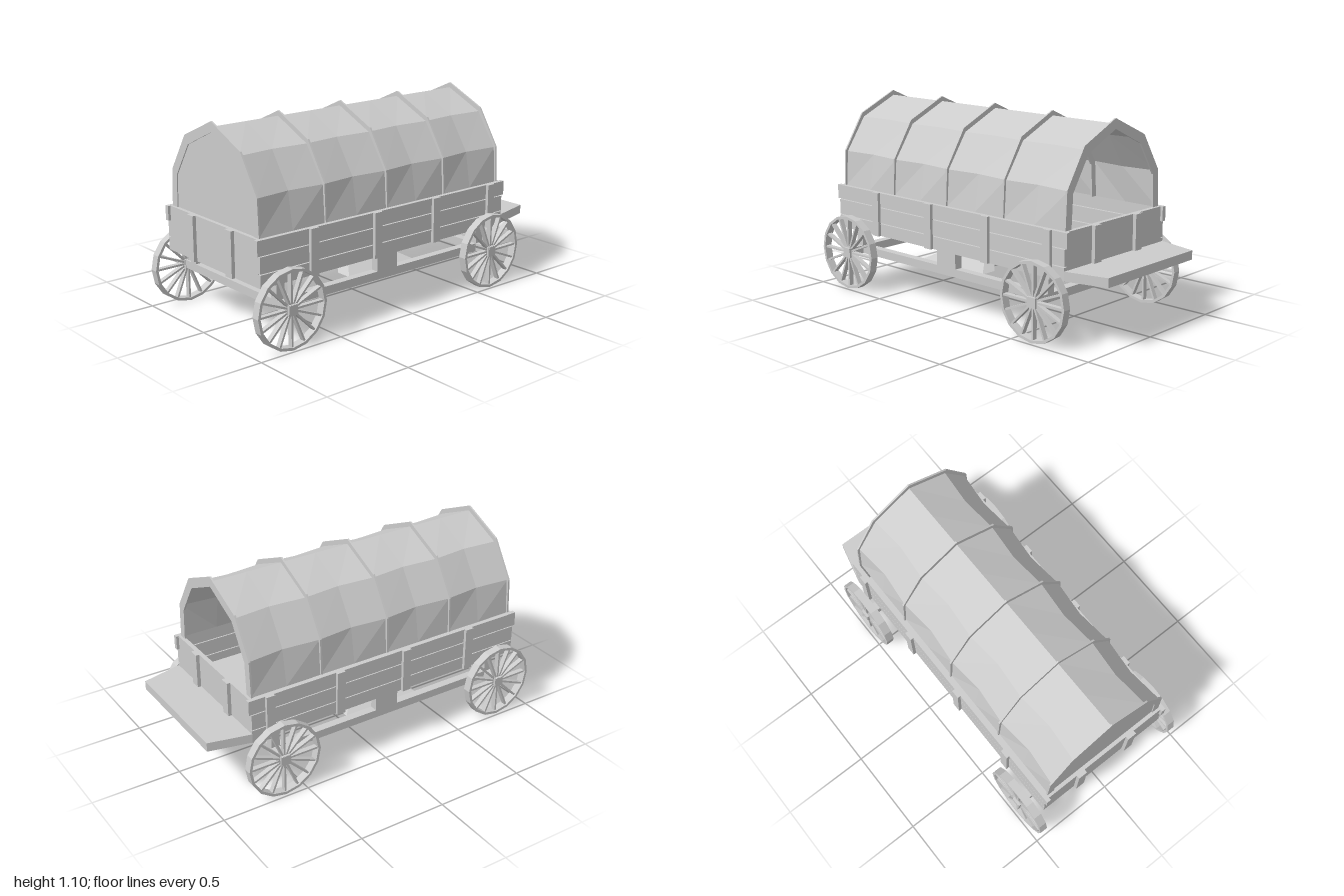
import * as THREE from 'three';

export function createModel() {
  const wagon = new THREE.Group();
  wagon.name = 'coveredWagon';
  const mat = new THREE.MeshStandardMaterial({ color: 0xcccccc, flatShading: true });
  const thin = new THREE.MeshStandardMaterial({ color: 0xcccccc, flatShading: true, side: THREE.DoubleSide });

  const add = (name, geo, parent = wagon, material = mat) => {
    const mesh = new THREE.Mesh(geo, material);
    mesh.name = name;
    parent.add(mesh);
    return mesh;
  };
  // Box given by its limits along each axis
  const box = (name, x0, x1, y0, y1, z0, z1, parent = wagon) => {
    const mesh = add(name, new THREE.BoxGeometry(x1 - x0, y1 - y0, z1 - z0), parent);
    mesh.position.set((x0 + x1) / 2, (y0 + y1) / 2, (z0 + z1) / 2);
    return mesh;
  };

  // Wagon bed: floor and plank walls
  const front = 0.93, back = -0.77, mid = 0.08;
  box('floor', -0.4, 0.4, 0.33, 0.355, back + 0.01, front - 0.01);
  const planks = [[0.333, 0.403, 0], [0.408, 0.495, 0], [0.5, 0.58, 0.015]];
  for (const [y0, y1, extra] of planks) {
    for (const s of [-1, 1]) {
      const a = s * 0.385, b = s * 0.41;
      box('sidePlank', Math.min(a, b), Math.max(a, b), y0, y1, back - extra, front + extra);
    }
  }
  for (const [z0, z1] of [[front - 0.025, front], [back, back + 0.025]]) {
    box('endBoard', -0.392, 0.392, 0.333, 0.58, z0, z1);
  }

  // Upright battens on the walls
  for (const s of [-1, 1]) {
    for (const z of [0.603, 0.18, -0.242, -0.665]) {
      box('sideBatten', s * 0.418 - 0.01, s * 0.418 + 0.01, 0.333, 0.582, z - 0.025, z + 0.025);
    }
    for (const z of [front + 0.009, back - 0.009]) {
      box('endBatten', s * 0.17 - 0.027, s * 0.17 + 0.027, 0.333, 0.58, z - 0.011, z + 0.011);
    }
  }

  // Tapered step at the back
  const step = new THREE.Shape([[-0.41, 0.77], [0.41, 0.77], [0.355, 1], [-0.355, 1]]
    .map(([x, y]) => new THREE.Vector2(x, y)));
  const stepMesh = add('rearStep', new THREE.ExtrudeGeometry(step, { depth: 0.05, bevelEnabled: false }));
  stepMesh.rotation.x = -Math.PI / 2;
  stepMesh.position.y = 0.335;

  // Undercarriage: rails, axles, posts and flared braces
  const axleZ = [0.79, -0.622];
  for (const z of axleZ) box('axle', -0.49, 0.49, 0.195, 0.24, z - 0.025, z + 0.025);
  for (const s of [-1, 1]) {
    const x = s * 0.362;
    box('rail', x - 0.023, x + 0.023, 0.195, 0.24, axleZ[1], axleZ[0]);
    box('middlePost', x - 0.023, x + 0.023, 0.238, 0.335, mid - 0.07, mid + 0.07);
    for (const z of axleZ) box('axlePost', x - 0.023, x + 0.023, 0.238, 0.335, z - 0.025, z + 0.025);

    const brace = new THREE.BoxGeometry(1, 1, 1);
    const p = brace.attributes.position;
    for (let i = 0; i < p.count; i++) {
      const outer = p.getX(i) * s > 0, low = p.getY(i) < 0;
      const px = low ? (outer ? 0.34 : 0.25) : (outer ? 0.14 : 0.07);
      p.setXYZ(i, s * px, low ? 0.235 : 0.333, mid + Math.sign(p.getZ(i)) * (low ? 0.23 : 0.07));
    }
    brace.computeVertexNormals();
    add('brace', brace);
  }

  // Spoked wheels, 16-sided with a corner at the bottom
  const sides = 16, R = 0.213, r = 0.198, width = 0.046;
  const ring = (rad) => Array.from({ length: sides }, (_, i) => {
    const a = i * 2 * Math.PI / sides;
    return new THREE.Vector2(rad * Math.cos(a), rad * Math.sin(a));
  });
  const rimShape = new THREE.Shape(ring(R));
  rimShape.holes.push(new THREE.Path(ring(r).reverse()));
  const rimGeo = new THREE.ExtrudeGeometry(rimShape, { depth: width, bevelEnabled: false });
  rimGeo.translate(0, 0, -width / 2).rotateY(Math.PI / 2);
  const spokeGeo = new THREE.BoxGeometry(0.028, r - 0.01, 0.011);
  spokeGeo.translate(0, (r + 0.01) / 2, 0);
  for (const s of [-1, 1]) {
    for (const z of axleZ) {
      const wheel = new THREE.Group();
      wheel.name = 'wheel';
      wheel.position.set(s * 0.462, R, z);
      add('rim', rimGeo, wheel);
      for (let i = 0; i < sides; i++) add('spoke', spokeGeo, wheel).rotation.x = i * 2 * Math.PI / sides;
      box('hub', -0.026, 0.026, -0.028, 0.028, -0.028, 0.028, wheel);
      wagon.add(wheel);
    }
  }

  // Hoops that hold up the cover
  const mirrorPts = (half) => [...half.map(([x, y]) => [-x, y]), ...half.slice(0, -1).reverse()];
  const outerArc = mirrorPts([[0.385, 0.575], [0.375, 0.78], [0.245, 0.985], [0, 1.095]]);
  const innerArc = mirrorPts([[0.34, 0.575], [0.33, 0.76], [0.215, 0.94], [0, 1.04]]);
  const toShape = (pts) => new THREE.Shape(pts.map(([x, y]) => new THREE.Vector2(x, y)));
  const hoopGeo = new THREE.ExtrudeGeometry(toShape([...outerArc, ...[...innerArc].reverse()]),
    { depth: 0.01, bevelEnabled: false });
  const hoopZ = [0.91, 0.495, 0.08, -0.335, -0.75];
  for (const z of hoopZ) add('hoop', hoopGeo).position.z = z - 0.005;

  // Canvas closing the front
  add('frontCanvas', new THREE.ShapeGeometry(toShape(innerArc)), wagon, thin).position.z = 0.909;

  // Canvas cover, drawn in slightly between hoops
  const arc = mirrorPts([[0.375, 0.575], [0.362, 0.775], [0.235, 0.962], [0, 1.067]]);
  const sag = [0, 0.02, 0.018, 0, 0.018, 0.02, 0];
  const verts = [], index = [], rows = (hoopZ.length - 1) * 2 + 1;
  for (let j = 0; j < rows; j++) {
    const z = THREE.MathUtils.lerp(hoopZ[0], hoopZ[4], j / (rows - 1));
    arc.forEach(([x, y], i) => verts.push(x - Math.sign(x) * (j % 2) * sag[i], y, z));
  }
  const n = arc.length;
  for (let j = 0; j < rows - 1; j++) {
    for (let i = 0; i < n - 1; i++) {
      const a = j * n + i, b = a + 1, c = a + n, d = c + 1;
      index.push(a, b, c, b, d, c);
    }
  }
  const cover = new THREE.BufferGeometry();
  cover.setAttribute('position', new THREE.Float32BufferAttribute(verts, 3));
  cover.setIndex(index);
  cover.computeVertexNormals();
  add('canvasCover', cover, wagon, thin);

  return wagon;
}
